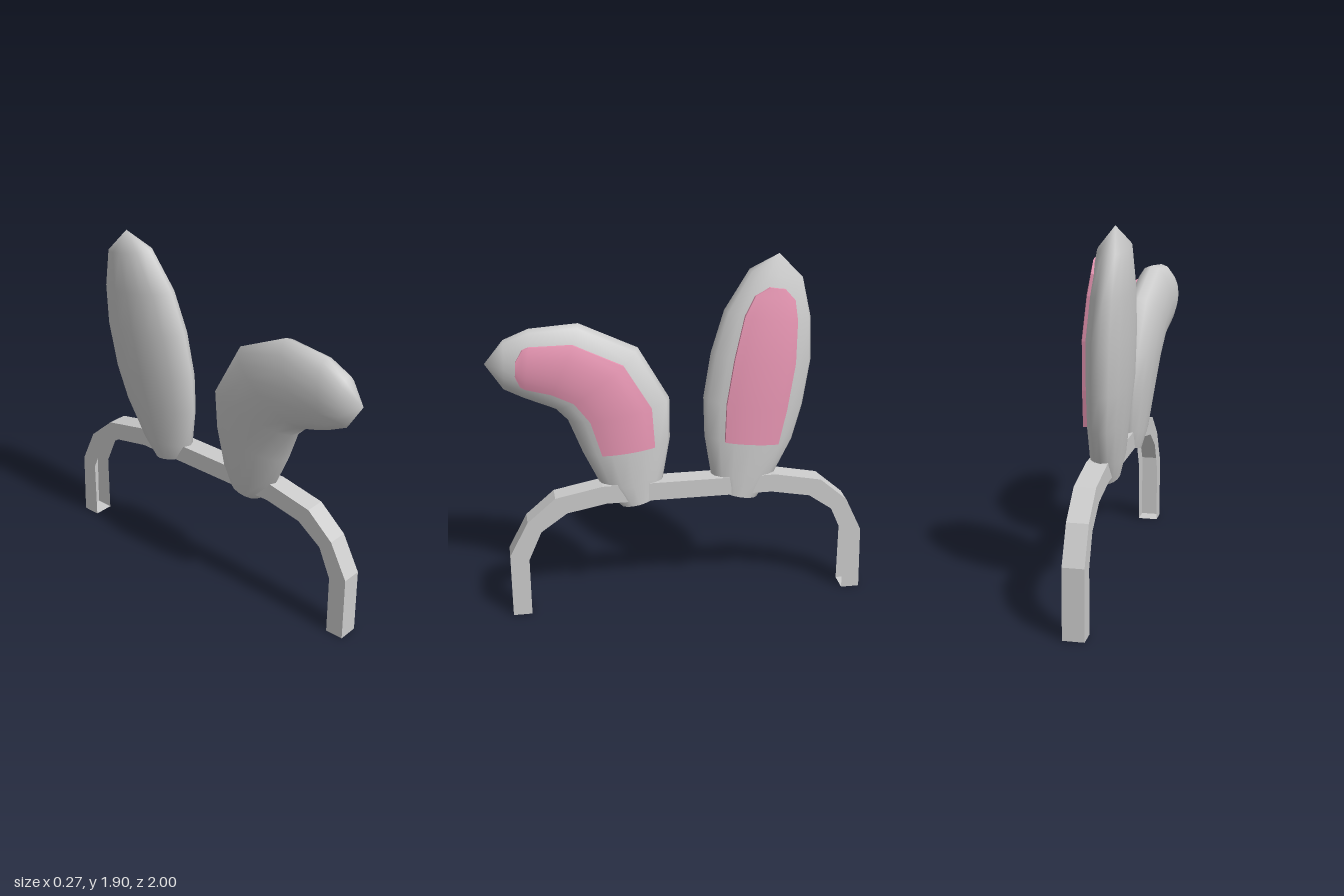
import * as THREE from 'three';
import { mergeVertices } from 'three/addons/utils/BufferGeometryUtils.js';

const grey = new THREE.MeshStandardMaterial({ color: 0xcccccc, side: THREE.DoubleSide });
grey.name = 'light grey';
const pink = new THREE.MeshStandardMaterial({ color: 0xee9ab8, side: THREE.DoubleSide });
pink.name = 'pink';

// Skin a list of cross-sections, each a list of Vector3
function skin(rows, smooth) {
  const pos = [];
  const tri = (...pts) => pts.forEach((p) => pos.push(p.x, p.y, p.z));
  for (let i = 0; i < rows.length - 1; i++) {
    for (let j = 0; j < rows[i].length - 1; j++) {
      const a = rows[i][j], b = rows[i][j + 1], c = rows[i + 1][j + 1], d = rows[i + 1][j];
      tri(a, b, c);
      tri(a, c, d);
    }
  }
  let geo = new THREE.BufferGeometry();
  geo.setAttribute('position', new THREE.Float32BufferAttribute(pos, 3));
  if (smooth) geo = mergeVertices(geo, 1e-4);
  geo.computeVertexNormals();
  return geo;
}

function part(name, geo, material) {
  const mesh = new THREE.Mesh(geo, material);
  mesh.name = name;
  return mesh;
}

// Headband: an arched channel, open on its inner side
function makeHeadband() {
  const X0 = -0.01, X1 = 0.1;
  // outer z, outer y, inner z, inner y
  const path = [
    [0.93, 0, 0.83, 0], [0.93, 0.36, 0.83, 0.33], [0.83, 0.55, 0.76, 0.49],
    [0.68, 0.68, 0.62, 0.59], [0.43, 0.73, 0.41, 0.63], [-0.5, 0.73, -0.48, 0.63],
    [-0.75, 0.68, -0.69, 0.59], [-0.9, 0.55, -0.83, 0.49], [-0.99, 0.36, -0.9, 0.33],
    [-1, 0, -0.9, 0],
  ];
  const rows = path.map(([oz, oy, iz, iy]) => [
    new THREE.Vector3(X0, iy, iz), new THREE.Vector3(X0, oy, oz),
    new THREE.Vector3(X1, oy, oz), new THREE.Vector3(X1, iy, iz),
  ]);
  const band = new THREE.Group();
  band.name = 'headband';
  band.add(part('bandChannel', skin(rows, false), grey));
  const f = rows[0], b = rows[rows.length - 1];
  band.add(part('bandFrontEnd', skin([[f[0], f[3]], [f[1], f[2]]], false), grey));
  band.add(part('bandBackEnd', skin([[b[1], b[2]], [b[0], b[3]]], false), grey));
  return band;
}

// Ear: elliptical sections [front z, y, back z, y, centre x, half thickness]
function makeEar(name, sections, patchEnd) {
  const at = (s, cos, sin, lift = 0) => {
    const i = Math.min(Math.floor(s), sections.length - 2);
    const [z0, y0, z1, y1, x, d] = sections[i].map((v, k) => v + (sections[i + 1][k] - v) * (s - i));
    return new THREE.Vector3(
      x + sin * d + lift,
      (y0 + y1) / 2 + (cos * (y0 - y1)) / 2,
      (z0 + z1) / 2 + (cos * (z0 - z1)) / 2,
    );
  };
  const SIDES = 16;
  const ring = (s, r = 1) => Array.from({ length: SIDES + 1 }, (_, j) => {
    const a = ((j % SIDES) / SIDES) * Math.PI * 2;
    return at(s, r * Math.cos(a), r * Math.sin(a));
  });
  const ear = new THREE.Group();
  ear.name = name;
  ear.add(part('earShell', skin(sections.map((_, s) => ring(s)), true), grey));
  ear.add(part('earBase', skin([ring(0, 0), ring(0)], false), grey));

  // Inner ear: a thin raised patch following the shell
  const strip = (s, half, lift) => Array.from({ length: 9 }, (_, j) => {
    const c = half * (1 - j / 4);
    return at(s, c, Math.sqrt(1 - c * c), lift);
  });
  const stops = [];
  for (let s = 2; s < patchEnd - 0.3; s++) stops.push([s, 0.6]);
  stops.push([patchEnd - 0.25, 0.56], [patchEnd, 0.25]);
  const rows = stops.map(([s, half], i) => strip(s, half, 0.018 - (0.01 * i) / stops.length));
  ear.add(part('innerEar', skin(rows, true), pink));

  // Rim joining the patch to the shell
  const last = rows.length - 1;
  const edge = [
    ...rows.map((r) => r[0]), ...rows[last].slice(1),
    ...rows.slice(0, last).reverse().map((r) => r[8]), ...rows[0].slice(0, 8).reverse(),
  ];
  const sunk = edge.map((p) => p.clone().setX(p.x - 0.025));
  ear.add(part('innerEarRim', skin([sunk, edge], false), pink));
  return ear;
}

export function createModel() {
  const model = new THREE.Group();
  model.name = 'earHeadband';
  model.add(makeHeadband());
  model.add(makeEar('straightEar', [
    [-0.21, 0.635, -0.41, 0.59, 0.04, 0.07],
    [-0.16, 0.73, -0.5, 0.71, 0.027, 0.085],
    [-0.125, 0.95, -0.6, 0.9, 0.015, 0.1],
    [-0.12, 1.16, -0.655, 1.09, 0, 0.112],
    [-0.16, 1.4, -0.695, 1.34, -0.013, 0.116],
    [-0.23, 1.62, -0.69, 1.56, -0.03, 0.103],
    [-0.36, 1.82, -0.645, 1.77, -0.048, 0.08],
    [-0.52, 1.9, -0.52, 1.9, -0.055, 0],
  ], 5.75));
  model.add(makeEar('bentEar', [
    [0.33, 0.59, 0.14, 0.635, 0.04, 0.07],
    [0.43, 0.71, 0.1, 0.73, 0.027, 0.085],
    [0.52, 0.9, 0.06, 0.95, 0.015, 0.1],
    [0.59, 1.08, 0.06, 1.17, 0, 0.112],
    [0.65, 1.14, 0.22, 1.45, -0.013, 0.116],
    [0.71, 1.16, 0.52, 1.59, -0.03, 0.103],
    [0.81, 1.2, 0.77, 1.57, -0.042, 0.09],
    [0.91, 1.25, 0.9, 1.515, -0.05, 0.07],
    [1, 1.39, 1, 1.39, -0.055, 0],
  ], 6.5));
  return model;
}
